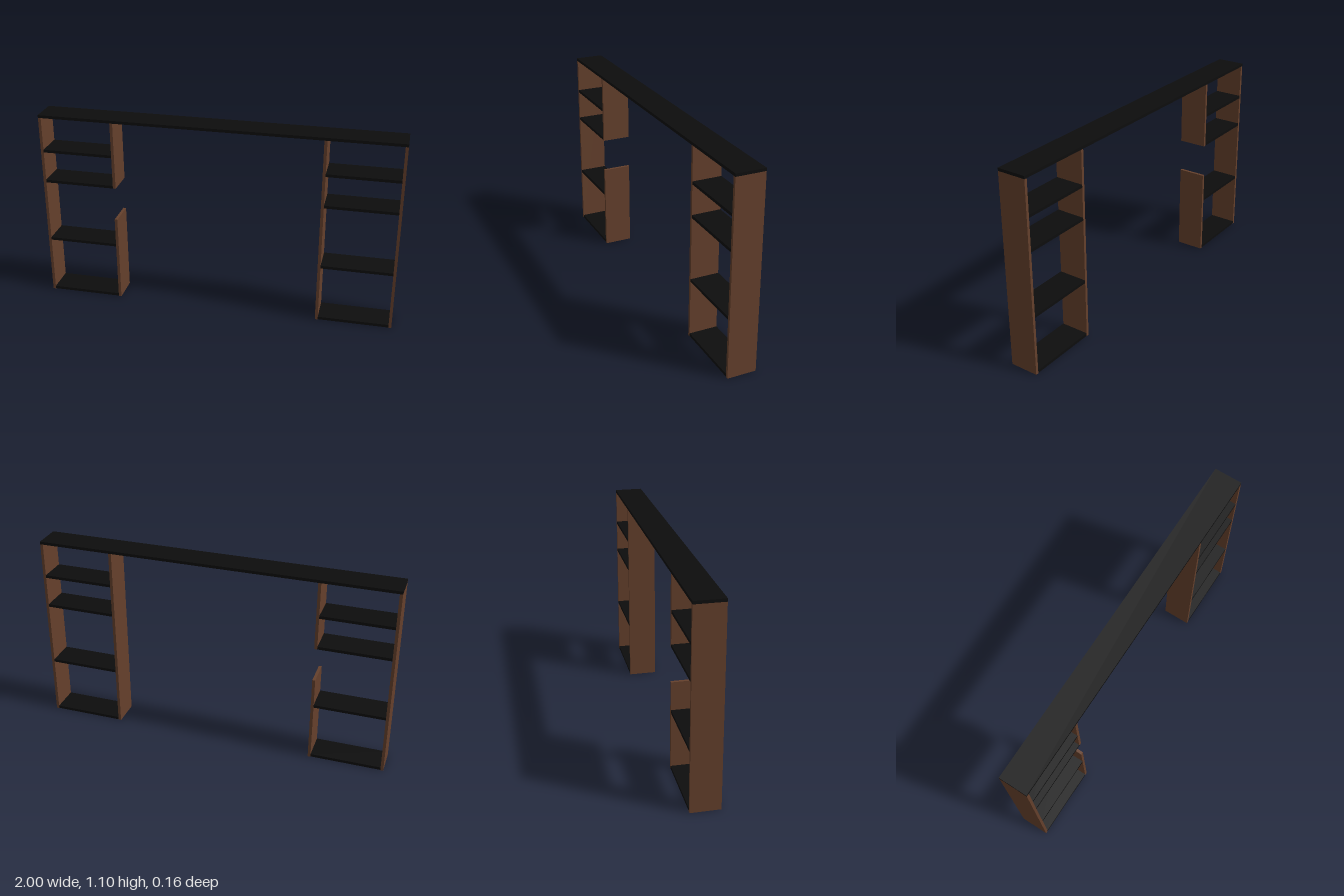
import * as THREE from 'three';

export function createModel() {
  const model = new THREE.Group();
  const brown = new THREE.MeshStandardMaterial({ name: 'brown wood', color: 0x65402c });
  const black = new THREE.MeshStandardMaterial({ name: 'black board', color: 0x0d0d0d });

  const T = 0.016, DEPTH = 0.16, TOP = 1.095;
  const OUTER = 1, INNER = 0.573; // outside faces of each shelf tower

  // Box given by its x and y ranges, full depth
  function board(name, x0, x1, y0, y1, material, parent) {
    const mesh = new THREE.Mesh(new THREE.BoxGeometry(Math.abs(x1 - x0), y1 - y0, DEPTH), material);
    mesh.position.set((x0 + x1) / 2, (y0 + y1) / 2, 0);
    mesh.name = name;
    parent.add(mesh);
  }

  // Long top board bridging both towers
  board('topBoard', -1, 1, TOP - T, TOP, black, model);

  for (const side of [1, -1]) {
    const tower = new THREE.Group();
    tower.name = side > 0 ? 'leftTower' : 'rightTower';
    model.add(tower);

    // Upright panels; the right tower's inner panel has a gap
    board('outerPanel', side * (OUTER - T), side * OUTER, 0, TOP - T, brown, tower);
    const spans = side > 0 ? [[0, TOP - T]] : [[0, 0.503], [0.695, TOP - T]];
    for (const [y0, y1] of spans) {
      board('innerPanel', side * INNER, side * (INNER + T), y0, y1, brown, tower);
    }

    // Shelves between the panels
    for (const y of [0.002, 0.33, 0.695, 0.877]) {
      board('shelf', side * (INNER + T), side * (OUTER - T), y, y + T, black, tower);
    }
  }
  return model;
}
